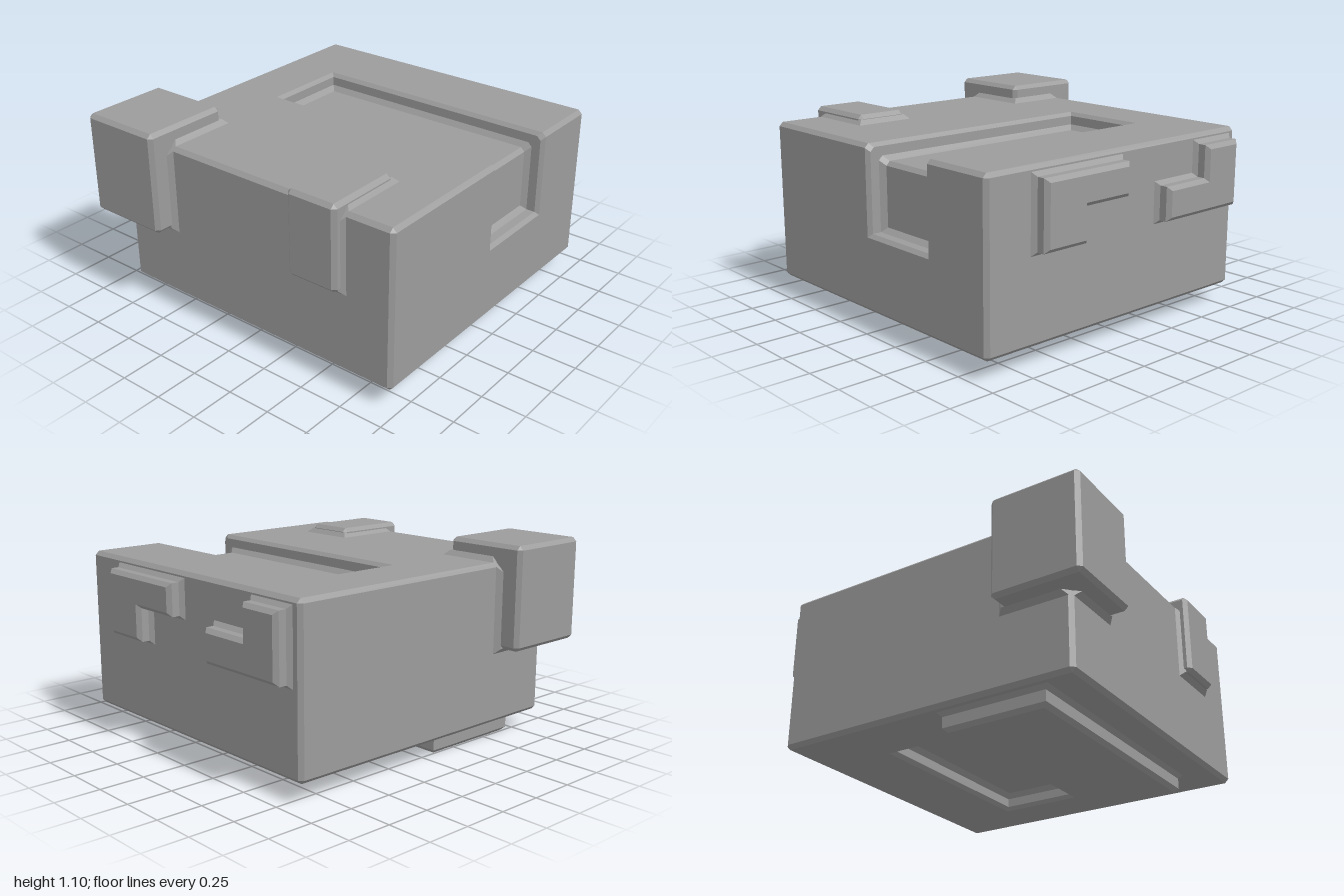
import * as THREE from 'three';
import { ConvexGeometry } from 'three/addons/geometries/ConvexGeometry.js';

const material = new THREE.MeshStandardMaterial({ color: 0x9c9c9c, flatShading: true });
const LO = [-0.873, 0.104, -0.83], HI = [0.914, 1, 0.962]; // body extents
const C = 0.022; // edge chamfer
const RECESS = [[0, 0], [0.02, 0.02], [0.02, 0.07], [0.045, 0.098]]; // inset, depth
const GROOVE = { left: -0.02, right: 0.49, back: -0.5, bottom: 0.51 };
const HOLLOW = { left: 0, right: 0.48, back: -0.48, front: 0.68 };

function meshFrom(name, positions) {
  const g = new THREE.BufferGeometry();
  g.setAttribute('position', new THREE.Float32BufferAttribute(positions, 3));
  g.computeVertexNormals();
  const m = new THREE.Mesh(g, material);
  m.name = name;
  return m;
}

// Walls between successive closed rings of 3D points
function loftWalls(rings) {
  const out = [];
  for (let k = 0; k + 1 < rings.length; k++) {
    const a = rings[k], b = rings[k + 1], n = a.length;
    for (let i = 0; i < n; i++) {
      const j = (i + 1) % n;
      out.push(...a[i], ...a[j], ...b[j], ...a[i], ...b[j], ...b[i]);
    }
  }
  return out;
}

// Flat polygon perpendicular to an axis, facing the given sign
function panel(axis, sign, outline, hole) {
  const u = (axis + 1) % 3, v = (axis + 2) % 3;
  const flat = (l) => l.map((p) => new THREE.Vector2(p[u], p[v]));
  const all = hole ? [...outline, ...hole] : outline;
  const out = [];
  for (const [i, j, k] of THREE.ShapeUtils.triangulateShape(flat(outline), hole ? [flat(hole)] : [])) {
    const [a, b, c] = [all[i], all[j], all[k]];
    const area = (b[u] - a[u]) * (c[v] - a[v]) - (b[v] - a[v]) * (c[u] - a[u]);
    out.push(...a, ...(area * sign > 0 ? [...b, ...c] : [...c, ...b]));
  }
  return out;
}

// Right-angled outline (anticlockwise) moved inwards
function inset(outline, d) {
  const n = outline.length;
  return outline.map((p, i) => {
    const q = outline[(i + n - 1) % n], r = outline[(i + 1) % n];
    const normal = (a, b) => {
      const dx = b[0] - a[0], dy = b[1] - a[1], l = Math.hypot(dx, dy);
      return [-dy / l, dx / l];
    };
    const n0 = normal(q, p), n1 = normal(p, r);
    return [p[0] + d * (n0[0] + n1[0]), p[1] + d * (n0[1] + n1[1])];
  });
}

// Stepped plate in the XY plane rising along +z; profile = [inset, height]
function plate(name, outline, profile) {
  const rings = profile.map(([d, h]) => inset(outline, d).map(([x, y]) => [x, y, h]));
  return meshFrom(name, [...loftWalls(rings), ...panel(2, 1, rings[rings.length - 1])]);
}
const raised = (h) => [[-0.022, 0], [0, 0.022], [0, h - C], [C, h]];
const skirt = [[0, 0], [0.028, 0.028]];
const rect = (x0, y0, x1, y1) => [[x0, y0], [x1, y0], [x1, y1], [x0, y1]];

// Turn a plate onto a side of the body
const onLeft = (m) => { m.rotation.y = Math.PI / 2; m.position.x = HI[0]; return m; };
const onRight = (m) => { m.rotation.y = -Math.PI / 2; m.position.x = LO[0]; return m; };
const onBack = (m) => { m.rotation.y = Math.PI; m.position.z = LO[2]; return m; };
const onTop = (m) => { m.rotation.x = -Math.PI / 2; m.position.y = HI[1]; return m; };
const onBottom = (m) => { m.rotation.x = Math.PI / 2; m.position.y = LO[1]; return m; };

// Corner of a chamfered box on the face of one axis; s holds the three signs
const chamferCorner = (lo, hi, axis, s) => s.map((e, i) =>
  (e > 0 ? hi[i] : lo[i]) - (i === axis ? 0 : e * C));
const SIGNS = [-1, 1].flatMap((x) => [-1, 1].flatMap((y) => [-1, 1].map((z) => [x, y, z])));

function chamferedBox(name, lo, hi) {
  const points = SIGNS.flatMap((s) => [0, 1, 2].map((axis) =>
    new THREE.Vector3(...chamferCorner(lo, hi, axis, s))));
  const m = new THREE.Mesh(new ConvexGeometry(points), material);
  m.name = name;
  return m;
}

// Chamfered body shell with openings for the groove and the hollow
function bodyShell() {
  const out = [];
  const middle = LO.map((v, i) => (v + HI[i]) / 2);
  const corner = (axis, s) => chamferCorner(LO, HI, axis, s);
  const tri = (...pts) => {
    const [a, b, c] = pts.map((p) => new THREE.Vector3(...p));
    const normal = b.clone().sub(a).cross(c.clone().sub(a));
    const flip = normal.dot(a.clone().sub(new THREE.Vector3(...middle))) < 0;
    out.push(...pts[0], ...(flip ? [...pts[2], ...pts[1]] : [...pts[1], ...pts[2]]));
  };
  const quad = (a, b, c, d) => { tri(a, b, c); tri(a, c, d); };
  const at = (p, x) => [x, p[1], p[2]];
  const { left, right, back, bottom } = GROOVE;

  // Corners and edges
  for (const s of SIGNS) tri(corner(0, s), corner(1, s), corner(2, s));
  for (let run = 0; run < 3; run++) {
    const a = (run + 1) % 3, b = (run + 2) % 3;
    for (const sa of [-1, 1]) for (const sb of [-1, 1]) {
      const s = [0, 0, 0], e = [0, 0, 0];
      s[a] = e[a] = sa; s[b] = e[b] = sb; s[run] = -1; e[run] = 1;
      const [p, q, r, t] = [corner(a, s), corner(a, e), corner(b, e), corner(b, s)];
      if (run === 0 && sa > 0 && sb > 0) {
        quad(p, at(p, left), at(t, left), t);
        quad(at(q, right), q, r, at(r, right));
      } else quad(p, q, r, t);
    }
  }

  // Flat faces
  const face = (axis, sign) => [[-1, -1], [1, -1], [1, 1], [-1, 1]].map(([u, v]) => {
    const s = [0, 0, 0];
    s[axis] = sign; s[(axis + 1) % 3] = u; s[(axis + 2) % 3] = v;
    return corner(axis, s);
  });
  for (const [axis, sign] of [[0, 1], [0, -1], [2, -1]]) out.push(...panel(axis, sign, face(axis, sign)));
  const x0 = LO[0] + C, x1 = HI[0] - C, yT = HI[1] - C, zF = HI[2] - C;
  const notched = (edge, far, stop) => [[x0, far], [x1, far], [x1, edge],
    [right, edge], [right, stop], [left, stop], [left, edge], [x0, edge]];
  out.push(...panel(1, 1, notched(zF, LO[2] + C, back).map(([x, z]) => [x, HI[1], z])));
  out.push(...panel(2, 1, notched(yT, LO[1] + C, bottom).map(([x, y]) => [x, y, HI[2]])));
  out.push(...panel(1, -1, face(1, -1), rect(HOLLOW.left, HOLLOW.back, HOLLOW.right, HOLLOW.front)
    .map(([x, z]) => [x, LO[1], z])));
  return meshFrom('body', out);
}

// Groove running along the top and bending down the front
function groove() {
  const rings = RECESS.map(([o, d]) => {
    const l = GROOVE.left + o, r = GROOVE.right - o, y = HI[1] - d, z = HI[2] - d;
    const path = [[y, GROOVE.back + o], [y, z - C], [y - C, z], [GROOVE.bottom + o, z]];
    return [...path.map((p) => [l, ...p]), ...path.reverse().map((p) => [r, ...p])];
  });
  const f = rings[rings.length - 1];
  const out = loftWalls(rings);
  for (let i = 0; i < 3; i++) {
    out.push(...f[i], ...f[i + 1], ...f[6 - i], ...f[i], ...f[6 - i], ...f[7 - i]);
  }
  return meshFrom('groove', out);
}

export function createModel() {
  const model = new THREE.Group();
  model.add(bodyShell(), groove());

  // Underside: hollow and raised L-shaped foot
  model.add(onBottom(plate('bottomHollow',
    rect(HOLLOW.left, HOLLOW.back, HOLLOW.right, HOLLOW.front), RECESS.map(([o, d]) => [o, -d]))));
  model.add(onBottom(plate('bottomFoot', [[-0.68, -0.76], [-0.08, -0.76], [-0.08, -0.48],
    [-0.48, -0.48], [-0.48, 0.67], [-0.68, 0.67]], raised(LO[1]))));

  // L-shaped plates on the left side
  model.add(onLeft(plate('frontSidePlate', [[-0.667, 0.585], [-0.385, 0.585], [-0.385, 0.77],
    [-0.093, 0.77], [-0.093, 0.947], [-0.667, 0.947]], raised(1 - HI[0]))));
  model.add(onLeft(plate('rearSidePlate', [[0.197, 0.585], [0.757, 0.585], [0.757, 0.947],
    [0.497, 0.947], [0.497, 0.77], [0.197, 0.77]], raised(1 - HI[0]))));

  // Large block wrapping the back right corner
  const block = new THREE.Group();
  block.name = 'cornerBlock';
  block.add(chamferedBox('block', [-1, 0.527, -0.966], [-0.49, 1.1, -0.48]),
    onTop(plate('topSkirt', rect(-0.855, 0.455, -0.462, 0.81), skirt)),
    onRight(plate('sideSkirt', rect(-0.81, 0.5, -0.455, 0.98), skirt)),
    onBack(plate('backSkirt', rect(0.462, 0.5, 0.855, 0.98), skirt)));
  model.add(block);

  // Small clip over the right top edge
  const clip = new THREE.Group();
  clip.name = 'edgeClip';
  clip.add(chamferedBox('clip', [-0.935, 0.575, 0.37], [-0.485, 1.05, 0.67]),
    onTop(plate('topSkirt', rect(-0.855, -0.69, -0.46, -0.35), skirt)),
    onRight(plate('sideSkirt', rect(0.35, 0.55, 0.69, 0.98), skirt)));
  model.add(clip);
  return model;
}
